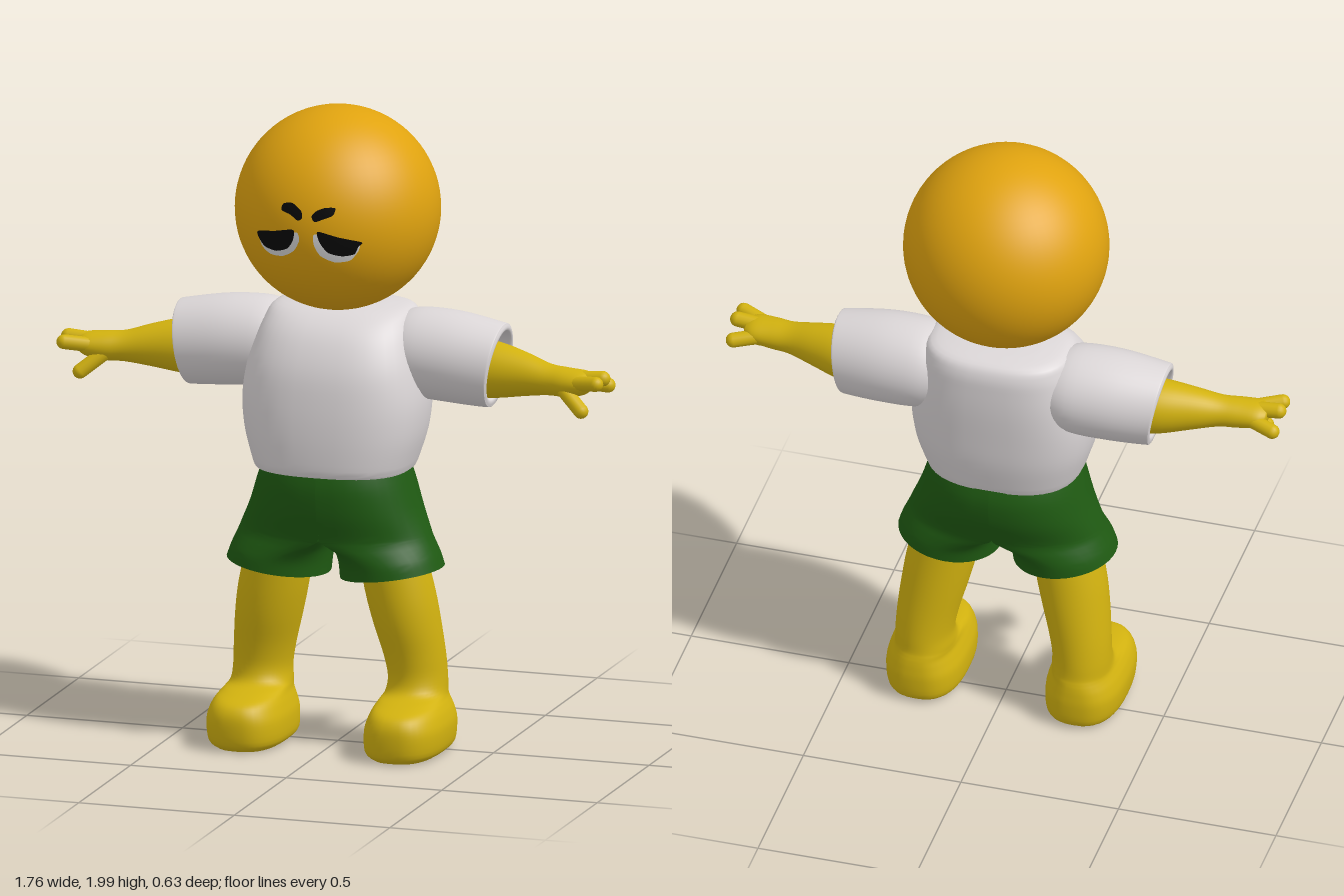
import * as THREE from 'three';
import { toCreasedNormals } from 'three/addons/utils/BufferGeometryUtils.js';

const SEG = 40;
const HEAD_Y = 1.685, HEAD_R = 0.315;

const material = (name, color, doubleSided = false) => {
  const m = new THREE.MeshStandardMaterial({ color });
  m.name = name;
  if (doubleSided) m.side = THREE.DoubleSide;
  return m;
};

// Smoothly resample rows of section parameters (Catmull-Rom per column)
function smooth(rows, steps = 4) {
  const out = [];
  const at = i => rows[Math.max(0, Math.min(rows.length - 1, i))];
  for (let i = 0; i < rows.length - 1; i++) {
    for (let k = 0; k < steps; k++) {
      const t = k / steps;
      out.push(rows[i].map((b, c) => {
        const a = at(i - 1)[c], d = at(i + 1)[c], e = at(i + 2)[c];
        return b + 0.5 * t * (d - a + t * (2 * a - 5 * b + 4 * d - e + t * (3 * (b - d) + e - a)));
      }));
    }
  }
  out.push(rows[rows.length - 1]);
  return out;
}

// Skin a list of closed rings, with optional caps at the start and end
function loft(rings, capStart, capEnd) {
  const n = rings[0].length, pos = rings.flat(2), index = [];
  for (let i = 0; i < rings.length - 1; i++) {
    for (let j = 0; j < n; j++) {
      const a = i * n + j, b = i * n + (j + 1) % n;
      index.push(a, a + n, b, b, a + n, b + n);
    }
  }
  const cap = (r, flip) => {
    const centre = pos.length / 3;
    pos.push(...[0, 1, 2].map(k => rings[r].reduce((s, p) => s + p[k], 0) / n));
    for (let j = 0; j < n; j++) {
      const a = r * n + j, b = r * n + (j + 1) % n;
      index.push(...(flip ? [centre, a, b] : [centre, b, a]));
    }
  };
  if (capStart) cap(0, true);
  if (capEnd) cap(rings.length - 1, false);
  const g = new THREE.BufferGeometry();
  g.setAttribute('position', new THREE.Float32BufferAttribute(pos, 3));
  g.setIndex(index);
  g.computeVertexNormals();
  return g;
}

const ring = fn => Array.from({ length: SEG }, (_, j) => {
  const t = (j / SEG) * Math.PI * 2;
  return fn(Math.cos(t), Math.sin(t));
});
const power = (v, n) => Math.sign(v) * Math.pow(Math.abs(v), 2 / n);
const span = (lo, hi, v) => (lo + hi) / 2 + (hi - lo) / 2 * v;

// Upright form, rows: y, x0, x1, z0, z1, squareness
const upright = rows => loft(smooth(rows).map(([y, x0, x1, z0, z1, n]) =>
  ring((c, s) => [span(x0, x1, power(c, n)), y, span(z0, z1, power(s, n))])), true, true);

// Sideways form, rows: x, y0, y1, z0, z1, tilt
const sideways = rows => loft(smooth(rows).map(([x, y0, y1, z0, z1, tilt]) =>
  ring((c, s) => [x + tilt * c, span(y0, y1, c), span(z0, z1, -s)])), true, true);

// Half of the shorts: D-shaped pelvis blending into a round leg
// rows: y, outer x, inner x, z0, z1, roundness, hem slope
function shortsHalf() {
  const rows = [
    [0.9, 0.225, 0, -0.185, 0.21, 0, 0], [0.84, 0.245, 0, -0.2, 0.22, 0, 0],
    [0.76, 0.27, 0, -0.192, 0.212, 0, 0], [0.69, 0.297, 0, -0.165, 0.192, 0, 0.01],
    [0.665, 0.306, 0.002, -0.156, 0.187, 0.2, 0.015], [0.635, 0.317, 0.012, -0.15, 0.184, 0.65, 0.025],
    [0.6, 0.33, 0.018, -0.145, 0.183, 0.95, 0.035], [0.56, 0.342, 0.022, -0.142, 0.183, 1, 0.045],
  ];
  return loft(smooth(rows).reverse().map(([y, xo, xi, z0, z1, b, slope]) => ring((c, s) => {
    const flat = c > 1e-6 ? xo * Math.pow(c, 0.85) : xi;
    const x = THREE.MathUtils.lerp(flat, span(xi, xo, c), b);
    return [x, y + slope * (x / 0.34 - 0.5), span(z0, z1, s)];
  })), false, false);
}

// Tapered finger from one point to another
function finger(from, to, radius) {
  const a = new THREE.Vector3(...from), b = new THREE.Vector3(...to);
  const dir = b.clone().sub(a), g = new THREE.CapsuleGeometry(radius, dir.length(), 6, 14);
  g.applyQuaternion(new THREE.Quaternion().setFromUnitVectors(new THREE.Vector3(0, 1, 0), dir.clone().normalize()));
  return g.translate(...a.add(b).multiplyScalar(0.5).toArray());
}

function mirrored(geometry) {
  const g = geometry.clone().scale(-1, 1, 1);
  g.setIndex(Array.from(g.index.array).reverse());
  return g;
}

// Thin face marking wrapped on the head, outline given anticlockwise
function marking(outline, lift) {
  const curve = new THREE.CatmullRomCurve3(outline.map(([x, y]) => new THREE.Vector3(x, y, 0)), true, 'catmullrom', 0.35);
  const edge = curve.getPoints(SEG).slice(0, SEG);
  const mid = edge.reduce((s, p) => s.add(p), new THREE.Vector3()).divideScalar(SEG);
  const rings = [1, 0.75, 0.5, 0.25, 0.01].map(k => edge.map(p => {
    const q = mid.clone().lerp(p, k), r = HEAD_R + lift;
    return [q.x, q.y, Math.sqrt(r * r - q.x ** 2 - (q.y - HEAD_Y) ** 2)];
  }));
  const g = loft(rings, false, true);
  g.setIndex(Array.from(g.index.array).reverse());
  g.computeVertexNormals();
  return g;
}

export function createModel() {
  const model = new THREE.Group();
  model.name = 'figure';
  const headMat = material('head amber', 0xe0a30f);
  const skin = material('skin yellow', 0xd2b20f);
  const shirt = material('shirt white', 0xdcd7d8, true);
  const green = material('shorts green', 0x1f5a12, true);
  const black = material('face black', 0x080808, true);
  const white = material('eye white', 0xd8d8d8, true);

  const add = (name, geometry, mat) => {
    const mesh = new THREE.Mesh(geometry, mat);
    mesh.name = name;
    model.add(mesh);
    return mesh;
  };
  const pair = (name, geometry, mat, finish = g => g) => {
    add(name + 'Left', finish(geometry), mat);
    add(name + 'Right', finish(mirrored(geometry)), mat);
  };

  // Head
  add('head', new THREE.SphereGeometry(HEAD_R, 64, 40), headMat).position.y = HEAD_Y;

  // Face: drooping eyes and short brows
  add('eyeWhiteRight', marking([[-0.16, 1.65], [-0.155, 1.615], [-0.125, 1.593], [-0.08, 1.593], [-0.04, 1.615],
    [-0.02, 1.65], [-0.025, 1.675], [-0.05, 1.672], [-0.1, 1.66]], 0.003), white);
  add('eyeWhiteLeft', marking([[0.03, 1.675], [0.027, 1.64], [0.045, 1.605], [0.085, 1.585], [0.13, 1.59],
    [0.155, 1.62], [0.158, 1.645], [0.1, 1.66]], 0.003), white);
  add('eyelidRight', marking([[-0.167, 1.66], [-0.16, 1.635], [-0.14, 1.615], [-0.1, 1.608], [-0.06, 1.622],
    [-0.04, 1.65], [-0.038, 1.684], [-0.1, 1.673]], 0.006), black);
  add('eyelidLeft', marking([[0.04, 1.684], [0.046, 1.65], [0.07, 1.617], [0.11, 1.606], [0.145, 1.612],
    [0.157, 1.635], [0.167, 1.65], [0.1, 1.668]], 0.006), black);
  add('browRight', marking([[-0.08, 1.74], [-0.05, 1.73], [-0.025, 1.714], [-0.01, 1.722],
    [-0.015, 1.745], [-0.045, 1.765], [-0.075, 1.76]], 0.004), black);
  add('browLeft', marking([[0.02, 1.73], [0.03, 1.713], [0.055, 1.722], [0.085, 1.735],
    [0.09, 1.757], [0.06, 1.757], [0.035, 1.747]], 0.004), black);

  // Shirt body
  add('shirtBody', toCreasedNormals(upright([
    [0.885, -0.24, 0.24, -0.187, 0.228, 2.6], [0.91, -0.25, 0.25, -0.195, 0.235, 2.6],
    [1.0, -0.276, 0.276, -0.215, 0.238, 2.6], [1.1, -0.286, 0.286, -0.225, 0.232, 2.6],
    [1.2, -0.275, 0.275, -0.232, 0.215, 2.6], [1.28, -0.255, 0.255, -0.232, 0.18, 2.6],
    [1.335, -0.235, 0.235, -0.227, 0.135, 2.6], [1.37, -0.21, 0.21, -0.205, 0.075, 2.6],
    [1.383, -0.13, 0.13, -0.15, 0.01, 2.4],
  ]), 0.9), shirt);

  // Sleeves with a turned-in rim
  pair('sleeve', sideways([
    [0.17, 1.13, 1.35, -0.18, 0.06, 0], [0.24, 1.1, 1.373, -0.2, 0.085, 0],
    [0.36, 1.09, 1.372, -0.195, 0.092, 0.005], [0.485, 1.085, 1.35, -0.172, 0.085, 0.018],
    [0.502, 1.09, 1.343, -0.166, 0.08, 0.02], [0.502, 1.108, 1.325, -0.148, 0.062, 0.02],
    [0.47, 1.112, 1.322, -0.145, 0.06, 0.015], [0.4, 1.115, 1.32, -0.145, 0.06, 0],
  ]), shirt);

  // Arms
  pair('arm', sideways([
    [0.38, 1.105, 1.3, -0.14, 0.05, 0], [0.5, 1.117, 1.29, -0.12, 0.05, 0],
    [0.6, 1.135, 1.268, -0.082, 0.05, 0], [0.68, 1.148, 1.245, -0.05, 0.055, 0],
    [0.74, 1.15, 1.24, -0.042, 0.068, 0], [0.8, 1.162, 1.235, -0.038, 0.073, 0],
    [0.828, 1.185, 1.222, -0.018, 0.05, 0],
  ]), skin);

  // Fingers and thumb
  [
    ['fingerFront', [0.77, 1.2, 0.045], [0.855, 1.212, 0.078], 0.023],
    ['fingerMiddle', [0.77, 1.21, 0.02], [0.858, 1.217, 0.022], 0.024],
    ['fingerBack', [0.77, 1.195, -0.012], [0.855, 1.182, -0.04], 0.023],
    ['thumb', [0.74, 1.175, 0.04], [0.805, 1.122, 0.072], 0.023],
  ].forEach(([name, from, to, r]) => pair(name, finger(from, to, r), skin));

  // Shorts
  pair('shorts', shortsHalf(), green, g => toCreasedNormals(g, 0.9));

  // Legs flowing into rounded feet
  pair('leg', upright([
    [0.008, 0.155, 0.345, -0.12, 0.235, 2.6], [0.03, 0.132, 0.37, -0.143, 0.258, 2.6],
    [0.09, 0.13, 0.376, -0.148, 0.265, 2.6], [0.13, 0.14, 0.367, -0.145, 0.258, 2.5],
    [0.155, 0.149, 0.355, -0.141, 0.232, 2.4], [0.17, 0.153, 0.346, -0.137, 0.17, 2.3],
    [0.187, 0.156, 0.341, -0.133, 0.1, 2.1], [0.23, 0.158, 0.339, -0.13, 0.078, 2],
    [0.3, 0.145, 0.335, -0.124, 0.085, 2], [0.4, 0.118, 0.325, -0.115, 0.108, 2],
    [0.5, 0.095, 0.31, -0.105, 0.12, 2], [0.65, 0.07, 0.275, -0.09, 0.125, 2],
  ]), skin);

  return model;
}
